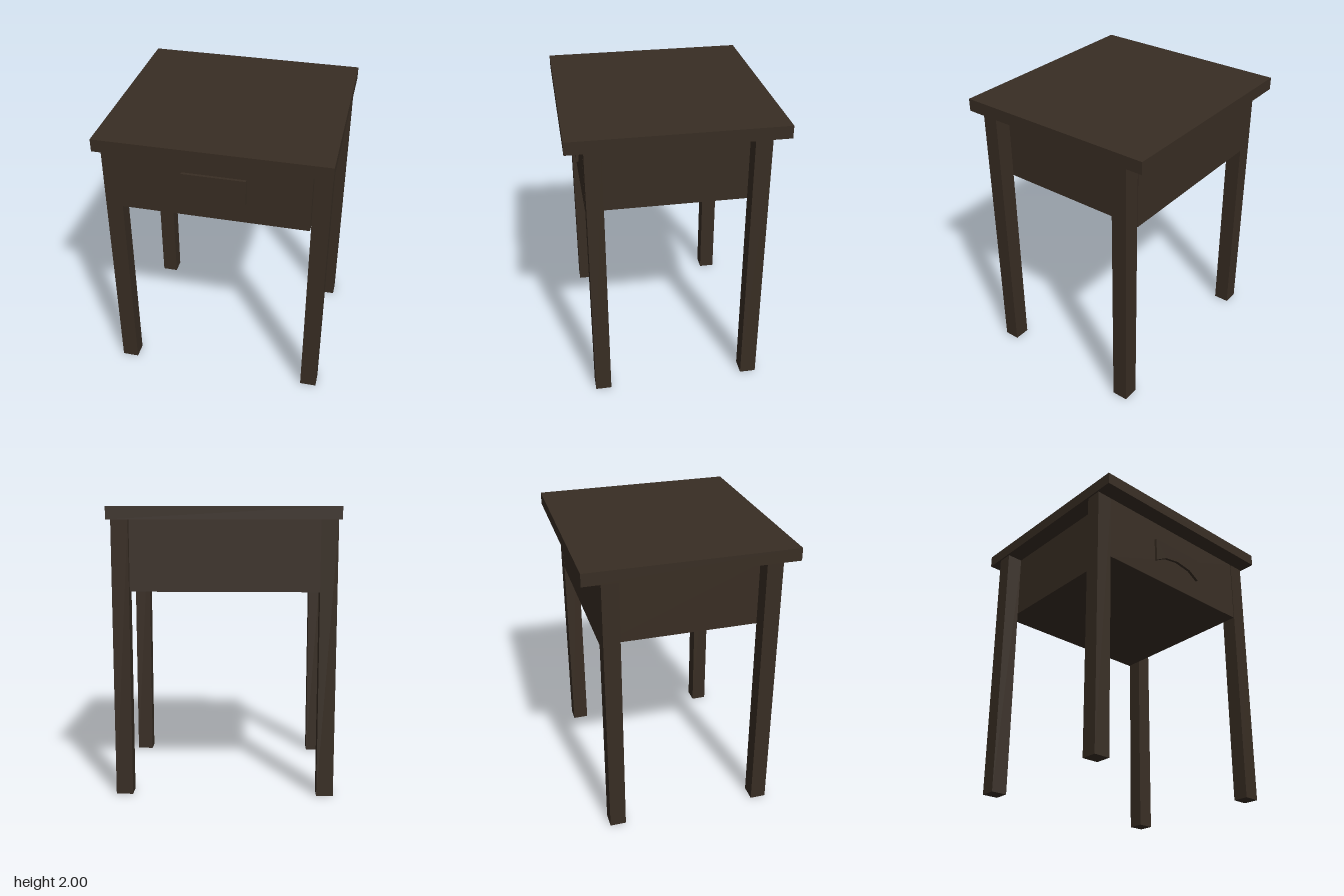
import * as THREE from 'three';

export function createModel() {
  const table = new THREE.Group();
  table.name = 'sideTable';
  const darkWood = new THREE.MeshStandardMaterial({ color: 0x382d23 });
  darkWood.name = 'darkWood';

  // Box given by its extents on each axis
  const box = (name, [x0, x1], [y0, y1], [z0, z1]) => {
    const mesh = new THREE.Mesh(new THREE.BoxGeometry(x1 - x0, y1 - y0, z1 - z0), darkWood);
    mesh.position.set((x0 + x1) / 2, (y0 + y1) / 2, (z0 + z1) / 2);
    mesh.name = name;
    table.add(mesh);
  };

  const underTop = 1.913;
  box('tableTop', [-0.77, 0.77], [underTop, 2], [-0.717, 0.717]);

  // Drawer case sits between the legs, flush with them at front and back
  box('drawerCase', [-0.643, 0.637], [1.43, underTop], [-0.594, 0.598]);

  // Four square legs
  for (const [side, xs] of [['Left', [0.643, 0.759]], ['Right', [-0.759, -0.643]]]) {
    box('front' + side + 'Leg', xs, [0, underTop], [0.487, 0.598]);
    box('back' + side + 'Leg', xs, [0, underTop], [-0.594, -0.481]);
  }

  // Drawer pull with an arched lower edge
  const pull = new THREE.Shape([
    [-0.217, 1.761], [-0.217, 1.582], [-0.12, 1.636], [0, 1.655],
    [0.125, 1.636], [0.213, 1.582], [0.213, 1.761],
  ].map(([x, y]) => new THREE.Vector2(x, y)));
  const handle = new THREE.Mesh(
    new THREE.ExtrudeGeometry(pull, { depth: 0.02, bevelEnabled: false }), darkWood);
  handle.position.z = 0.598;
  handle.name = 'drawerPull';
  table.add(handle);

  return table;
}
